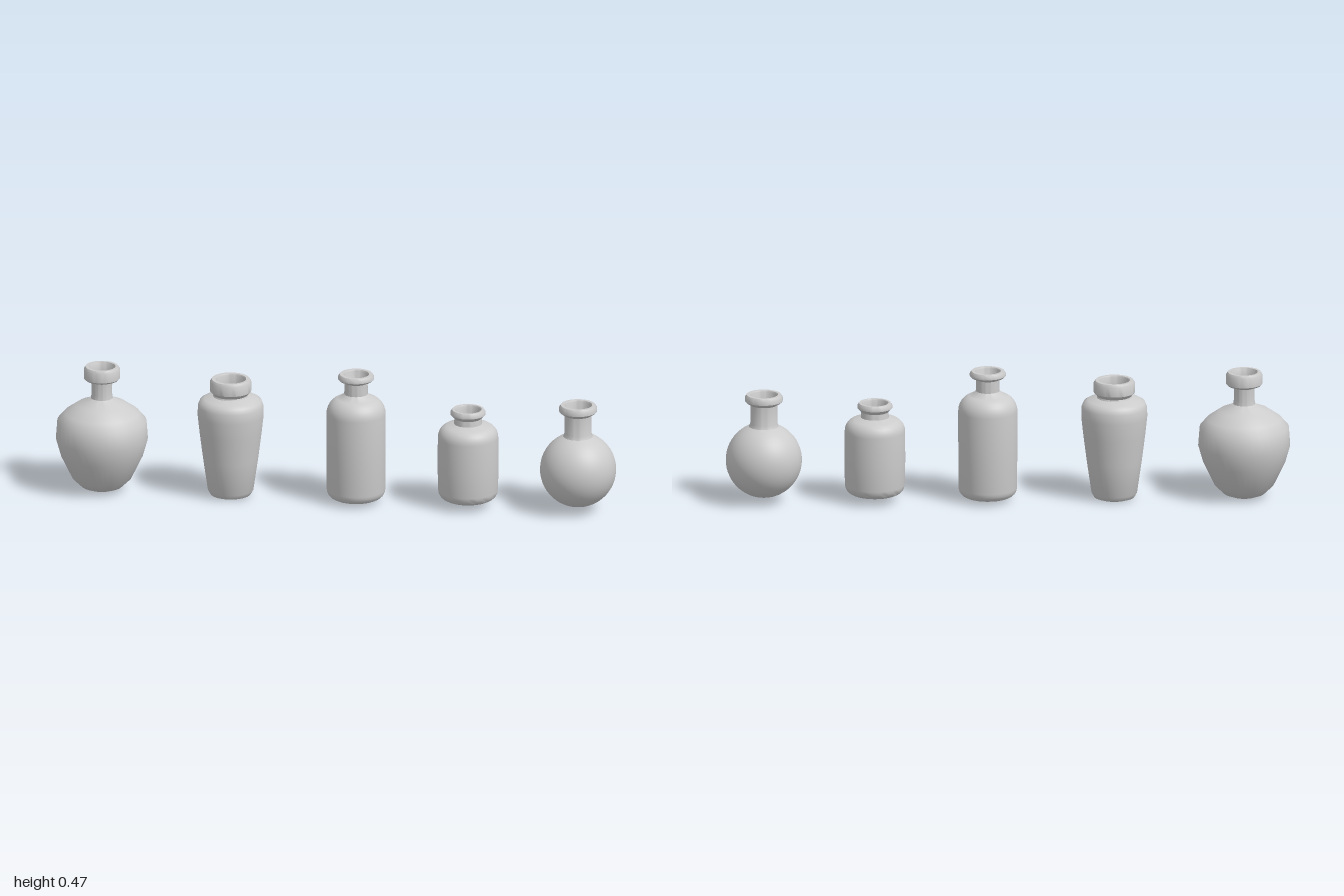
import * as THREE from 'three';
import { toCreasedNormals } from 'three/addons/utils/BufferGeometryUtils.js';

const material = new THREE.MeshStandardMaterial({ color: 0xcccccc });

// Lathes body + neck + lip + hollow neck from one closed profile of [radius, height].
function bottle(name, x, body, { neck, lip, mouth, y0, y1, floor }) {
  const c = 0.006; // lip chamfer
  const profile = [
    [0, body[0][1]],
    ...body,
    [neck, y0 - 0.008],
    [lip - c, y0], [lip, y0 + c], [lip, y1 - c * 1.5], [lip - c, y1], // lip
    [mouth + 0.003, y1], [mouth, y1 - 0.005],
    [mouth, y0 + 0.005], [neck * 0.85, y0 - 0.008], // inside of the lip
    [neck * 0.85, floor], [0, floor], // inside of the neck
  ].map(([r, y]) => new THREE.Vector2(r, y));
  const geometry = toCreasedNormals(new THREE.LatheGeometry(profile, 40), 0.72);
  const mesh = new THREE.Mesh(geometry, material);
  mesh.name = name;
  mesh.position.x = x;
  return mesh;
}

// Arc of profile points around (cx, cy), angles measured from straight down.
function arc(cx, cy, rx, ry, from, to, n) {
  return Array.from({ length: n + 1 }, (_, i) => {
    const a = THREE.MathUtils.degToRad(from + ((to - from) * i) / n);
    return [cx + rx * Math.sin(a), cy - ry * Math.cos(a)];
  });
}

export function createModel() {
  const group = new THREE.Group();
  group.name = 'bottles';

  // Wide urn with a slim neck
  group.add(bottle('urnBottle', -0.838, [
    [0.045, 0.003], [0.073, 0.014], [0.105, 0.045], [0.146, 0.13], [0.163, 0.19],
    [0.158, 0.257], [0.132, 0.287], [0.088, 0.318], [0.052, 0.333], [0.039, 0.342],
    [0.036, 0.36],
  ], { neck: 0.037, lip: 0.064, mouth: 0.045, y0: 0.41, y1: 0.459, floor: 0.34 }));

  // Tapered jar with a broad collar
  group.add(bottle('taperedBottle', -0.378, [
    [0.055, 0], [0.072, 0.006], [0.081, 0.022], [0.098, 0.14], [0.11, 0.235],
    [0.117, 0.3], [0.116, 0.335], [0.109, 0.353], [0.094, 0.362], [0.062, 0.371],
  ], { neck: 0.06, lip: 0.073, mouth: 0.052, y0: 0.384, y1: 0.434, floor: 0.36 }));

  // Tall cylinder with round shoulders
  group.add(bottle('tallBottle', 0.07, [
    ...arc(0.072, 0.045, 0.032, 0.033, 0, 90, 5),
    ...arc(0.046, 0.325, 0.059, 0.062, 90, 170, 7),
    [0.042, 0.4],
  ], { neck: 0.041, lip: 0.064, mouth: 0.043, y0: 0.45, y1: 0.473, floor: 0.385 }));

  // Short cylinder with round shoulders
  group.add(bottle('shortBottle', 0.47, [
    ...arc(0.072, 0.06, 0.034, 0.034, 0, 90, 5),
    [0.108, 0.15],
    ...arc(0.067, 0.256, 0.04, 0.045, 90, 170, 6),
    [0.05, 0.308],
  ], { neck: 0.048, lip: 0.062, mouth: 0.045, y0: 0.336, y1: 0.36, floor: 0.3 }));

  // Round flask
  group.add(bottle('roundBottle', 0.863, [
    ...arc(0, 0.154, 0.135, 0.135, 14, 157, 20),
    [0.048, 0.29],
  ], { neck: 0.048, lip: 0.067, mouth: 0.047, y0: 0.366, y1: 0.395, floor: 0.28 }));

  return group;
}
